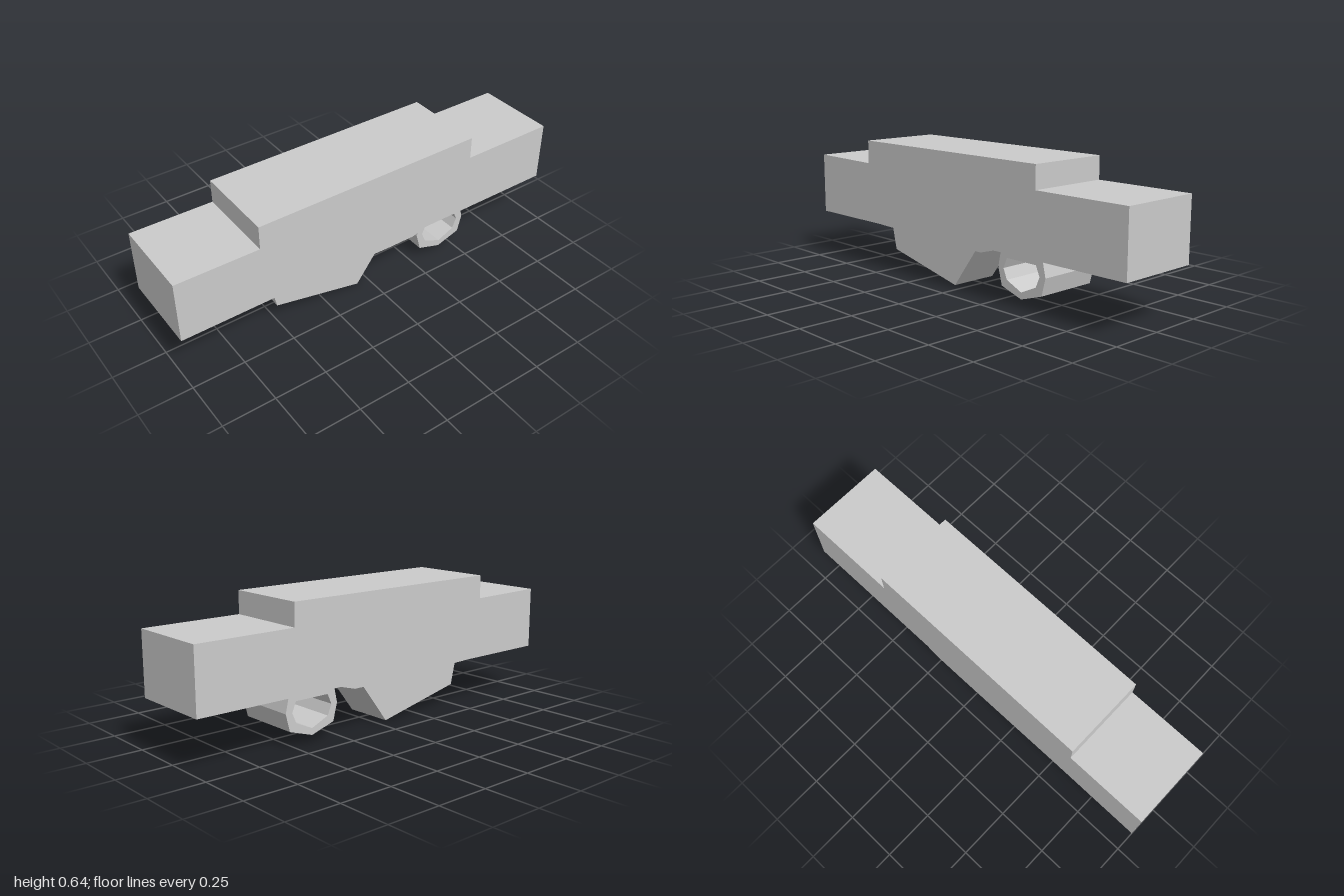
import * as THREE from 'three';

const material = new THREE.MeshStandardMaterial({ color: 0xcccccc, flatShading: true });

const toVectors = (points) => points.map(([x, y]) => new THREE.Vector2(x, y));

// Extrudes a side profile symmetrically about z = 0
function slab(name, outline, depth, hole) {
  const shape = new THREE.Shape(toVectors(outline));
  if (hole) shape.holes.push(new THREE.Path(toVectors(hole)));
  const geometry = new THREE.ExtrudeGeometry(shape, { depth, bevelEnabled: false });
  geometry.translate(0, 0, -depth / 2);
  const mesh = new THREE.Mesh(geometry, material);
  mesh.name = name;
  return mesh;
}

export function createModel() {
  const model = new THREE.Group();
  model.name = 'model';

  // Long beam with a raised middle and a slightly sagging underside
  model.add(slab('body', [
    [-1, 0.232], [-0.53, 0.232], [0.06, 0.215], [0.2, 0.215], [0.28, 0.238], [1, 0.238],
    [1, 0.531], [0.525, 0.531], [0.525, 0.638], [-0.607, 0.638], [-0.607, 0.526], [-1, 0.531],
  ], 0.4));

  // Wedge hanging below the body, its top sunk into the beam
  model.add(slab('lowerWedge', [
    [-0.533, 0.24], [-0.5, 0.097], [-0.06, 0], [0.1, 0.215], [0.11, 0.23],
  ], 0.24));

  // Seven-sided open tube under the body
  model.add(slab('lowerTube', [
    [0.283, 0.242], [0.265, 0.157], [0.287, 0.075], [0.405, 0.037],
    [0.524, 0.075], [0.545, 0.157], [0.525, 0.242],
  ], 0.31, [
    [0.318, 0.204], [0.297, 0.156], [0.318, 0.107], [0.405, 0.068],
    [0.49, 0.107], [0.511, 0.156], [0.49, 0.204],
  ]));

  return model;
}
